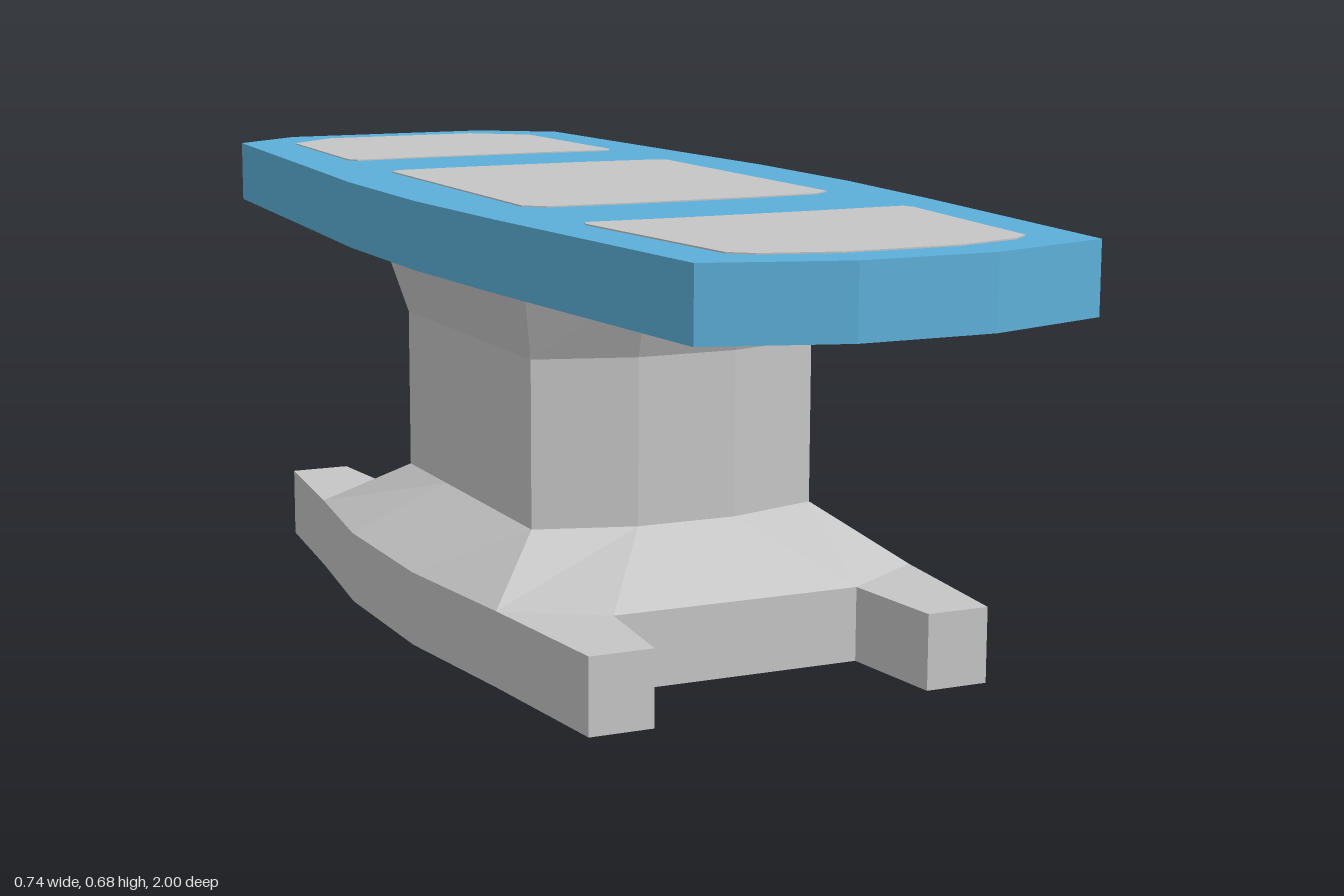
import * as THREE from 'three';

const blue = new THREE.MeshStandardMaterial({ color: 0x5cafd9 });
blue.name = 'sky blue';
const deepBlue = new THREE.MeshStandardMaterial({ color: 0x1070c4 });
deepBlue.name = 'deep blue';
const grey = new THREE.MeshStandardMaterial({ color: 0xc5c5c5 });
grey.name = 'light grey';

// Closes a symmetric outline from its +x half, given as [x, z] from front to back.
function mirrored(half) {
  return [...half, ...half.map(([x, z]) => [-x, z]).reverse()];
}

// Upright slab with the given outline, standing on y = 0.
function slab(half, height) {
  const shape = new THREE.Shape(mirrored(half).map(([x, z]) => new THREE.Vector2(x, -z)));
  return new THREE.ExtrudeGeometry(shape, { depth: height, bevelEnabled: false }).rotateX(-Math.PI / 2);
}

// Faceted skin between stacked rings, each { y, half }.
function loft(rings) {
  const loops = rings.map(({ y, half }) => mirrored(half).map(([x, z]) => [x, y, z]));
  const positions = [];
  for (let r = 0; r < loops.length - 1; r++) {
    const low = loops[r], high = loops[r + 1], n = low.length;
    for (let i = 0; i < n; i++) {
      const j = (i + 1) % n;
      positions.push(...low[i], ...low[j], ...high[j], ...low[i], ...high[j], ...high[i]);
    }
  }
  const geometry = new THREE.BufferGeometry();
  geometry.setAttribute('position', new THREE.Float32BufferAttribute(positions, 3));
  geometry.computeVertexNormals();
  return geometry;
}

export function createModel() {
  const model = new THREE.Group();
  model.name = 'bench';
  const add = (name, geometry, material, y = 0) => {
    const mesh = new THREE.Mesh(geometry, material);
    mesh.name = name;
    mesh.position.y = y;
    model.add(mesh);
  };

  // Base plate with a notch at each end
  add('basePlate', slab([
    [0.197, 0.49], [0.215, 0.665], [0.313, 0.665], [0.34, 0.4], [0.372, 0.14],
    [0.372, -0.14], [0.34, -0.385], [0.313, -0.635], [0.215, -0.635], [0.197, -0.46],
  ], 0.113), grey);

  // Pedestal: sloping foot, straight column, flared top
  const column = [[0.08, 0.32], [0.233, 0.275], [0.233, 0.08], [0.233, -0.08], [0.233, -0.245], [0.08, -0.288]];
  add('pedestal', loft([
    { y: 0.113, half: [[0.197, 0.49], [0.34, 0.4], [0.372, 0.14], [0.372, -0.14], [0.34, -0.385], [0.197, -0.46]] },
    { y: 0.195, half: column },
    { y: 0.45, half: column },
    { y: 0.574, half: [[0.088, 0.375], [0.263, 0.322], [0.263, 0.08], [0.263, -0.08], [0.263, -0.292], [0.088, -0.342]] },
  ]), grey);

  // Seat slab and its darker underside
  const seat = [
    [0.1, 1], [0.295, 0.94], [0.345, 0.42], [0.364, 0.15],
    [0.364, -0.15], [0.347, -0.4], [0.314, -0.91], [0.188, -1],
  ];
  add('seat', slab(seat, 0.103), blue, 0.573);
  const underside = new THREE.Shape(mirrored(seat).map(([x, z]) => new THREE.Vector2(x, z)));
  add('seatUnderside', new THREE.ShapeGeometry(underside).rotateX(Math.PI / 2), deepBlue, 0.571);

  // Grey panels on top of the seat
  const panels = {
    frontPanel: [[0.085, 0.93], [0.19, 0.9], [0.22, 0.875], [0.257, 0.53], [0.25, 0.51], [0.1, 0.515]],
    middlePanel: [[0.1, 0.316], [0.22, 0.308], [0.25, 0.285], [0.25, -0.272], [0.23, -0.287], [0.1, -0.295]],
    backPanel: [[0.1, -0.494], [0.235, -0.487], [0.246, -0.505], [0.232, -0.845], [0.14, -0.922]],
  };
  for (const [name, half] of Object.entries(panels)) add(name, slab(half, 0.003), grey, 0.675);

  return model;
}
